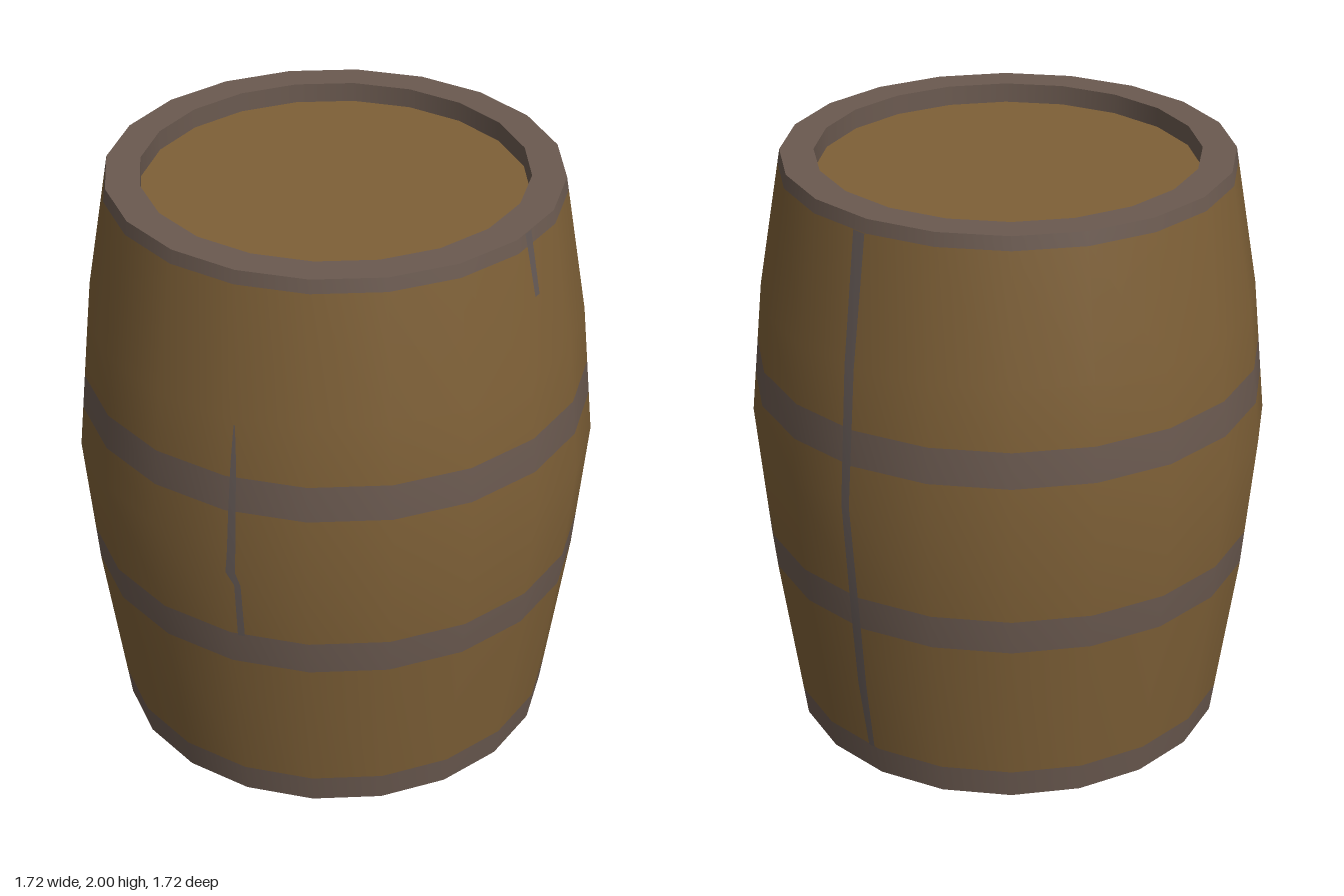
import * as THREE from 'three';

const SIDES = 20;
// Stave profile: height, radius, slope used for smooth shading
const PROFILE = [
  [0, 0.735, 0.14], [0.6, 0.818, 0.115], [1.07, 0.86, 0], [1.53, 0.815, -0.13], [2, 0.735, -0.17],
];

function sample(y) {
  let i = 0;
  while (i < PROFILE.length - 2 && y > PROFILE[i + 1][0]) i++;
  const [a, b] = [PROFILE[i], PROFILE[i + 1]];
  const t = (y - a[0]) / (b[0] - a[0]);
  return { r: a[1] + (b[1] - a[1]) * t, slope: a[2] + (b[2] - a[2]) * t };
}

// Heights from y0 to y1, including the profile's bends
function levels(y0, y1) {
  return [y0, ...PROFILE.map((p) => p[0]).filter((y) => y > y0 && y < y1), y1];
}

// Smooth normals that run on without a break from band to band
function shade(geometry) {
  const p = geometry.attributes.position;
  const normals = [];
  const n = new THREE.Vector3();
  for (let i = 0; i < p.count; i++) {
    const a = Math.atan2(p.getX(i), p.getZ(i));
    n.set(Math.sin(a), -sample(p.getY(i)).slope, Math.cos(a)).normalize();
    normals.push(n.x, n.y, n.z);
  }
  geometry.setAttribute('normal', new THREE.Float32BufferAttribute(normals, 3));
  return geometry;
}

function band(y0, y1) {
  const points = levels(y0, y1).map((y) => new THREE.Vector2(sample(y).r, y));
  return shade(new THREE.LatheGeometry(points, SIDES));
}

// Thin strip lying on the staves; rows are [y, start angle, end angle] in degrees
function seam(rows) {
  const step = (Math.PI * 2) / SIDES;
  const positions = [];
  const index = [];
  rows.forEach(([y, a0, a1], i) => {
    const mid = (Math.floor(THREE.MathUtils.degToRad((a0 + a1) / 2) / step) + 0.5) * step;
    for (const deg of [a0, a1]) {
      const a = THREE.MathUtils.degToRad(deg);
      const r = (sample(y).r * Math.cos(step / 2)) / Math.cos(a - mid) + 0.003;
      positions.push(r * Math.sin(a), y, r * Math.cos(a));
    }
    const k = i * 2;
    if (i < rows.length - 1) index.push(k, k + 1, k + 2, k + 1, k + 3, k + 2);
  });
  const g = new THREE.BufferGeometry();
  g.setAttribute('position', new THREE.Float32BufferAttribute(positions, 3));
  g.setIndex(index);
  return shade(g);
}

export function createModel() {
  const group = new THREE.Group();
  const material = (name, color) => {
    const m = new THREE.MeshStandardMaterial({ color });
    m.name = name;
    return m;
  };
  const wood = material('wood', 0x7e6037);
  const iron = material('iron', 0x6b5a50);
  const seamGrey = material('seam grey', 0x635854);

  const add = (name, geometry, mat) => {
    const mesh = new THREE.Mesh(geometry, mat);
    mesh.name = name;
    group.add(mesh);
    return mesh;
  };

  // Staves and hoops alternate up the body
  [[0, 0.1], [0.605, 0.725], [1.21, 1.33], [1.955, 2]].forEach(([a, b]) => add('hoop', band(a, b), iron));
  [[0.1, 0.605], [0.725, 1.21], [1.33, 1.955]].forEach(([a, b]) => add('staves', band(a, b), wood));

  // Rim, its inner wall and the sunken lid
  const v = (x, y) => new THREE.Vector2(x, y);
  add('rim', new THREE.LatheGeometry([v(0.735, 2), v(0.625, 2)], SIDES), iron);
  add('rimInnerWall', new THREE.LatheGeometry([v(0.625, 2), v(0.625, 1.934)], SIDES), iron);
  const lid = add('lid', new THREE.CircleGeometry(0.625, SIDES), wood);
  lid.rotation.x = -Math.PI / 2;
  lid.position.y = 1.934;

  // Base with a cross strip
  const base = add('base', new THREE.CircleGeometry(0.735, SIDES), wood);
  base.rotation.x = Math.PI / 2;
  base.position.y = 0.003;
  const outline = [[-0.265, -0.68], [-0.227, -0.699], [-0.065, -0.725], [-0.065, 0.725], [-0.227, 0.699], [-0.265, 0.68]];
  const strip = add('baseStrip', new THREE.ShapeGeometry(new THREE.Shape(outline.map(([x, z]) => v(x, z)))), seamGrey);
  strip.rotation.x = Math.PI / 2;

  // Narrow seams between staves: front, side and back
  add('frontSeam', seam([
    [0.72, 1.8, 3.4], [0.93, 1.8, 3.2], [0.98, 0.1, 2.2], [1.07, 0.8, 2.6], [1.21, 0.9, 2.5], [1.38, 1.2, 2.4], [1.51, 1.7, 2],
  ]), seamGrey);
  add('sideSeam', seam([[1.785, 77.1, 79], [2, 75.6, 78.4]]), seamGrey);
  add('backSeam', seam([
    [0.1, 176.6, 178.6], [0.36, 176, 178.8], [0.6, 177, 179.8], [1.07, 177.6, 179.9],
    [1.53, 177, 179.9], [1.955, 176, 179.8],
  ]), seamGrey);

  return group;
}
